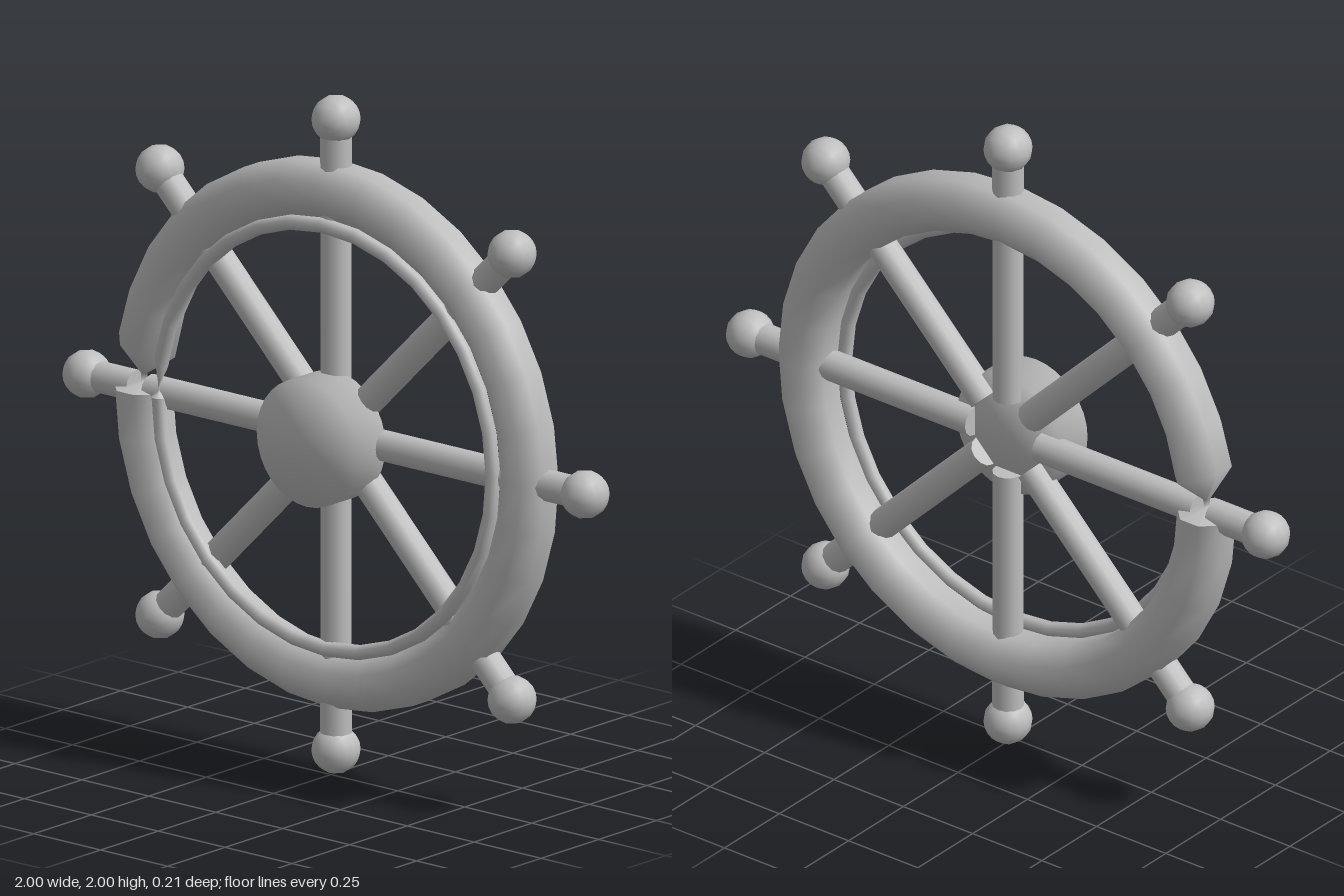
import * as THREE from 'three';
import { mergeVertices } from 'three/addons/utils/BufferGeometryUtils.js';

const CENTER_Y = 1;
const WHEEL_Z = -0.022;

// Drop hard seams so the normals flow round the whole part
function smooth(geometry) {
  geometry.deleteAttribute('normal');
  geometry.deleteAttribute('uv');
  const merged = mergeVertices(geometry, 1e-4);
  merged.computeVertexNormals();
  return merged;
}

// Ring tube running anticlockwise from the left-hand seam, pinched just before it closes
function pinchedRing(radius, tube, sides) {
  const stations = [];
  for (let i = 0; i <= 31; i++) stations.push([180 + (i * 350) / 31, 1]);
  stations.push([536.5, 0.12], [538.5, 0.1], [540, 1]);
  const positions = [], index = [];
  stations.forEach(([degrees, scale], i) => {
    const a = THREE.MathUtils.degToRad(degrees);
    for (let j = 0; j < sides; j++) {
      const b = ((j + 0.5) / sides) * Math.PI * 2;
      const r = radius + Math.cos(b) * tube * scale;
      // the open end is cut slightly askew
      const skew = i === 31 ? -Math.cos(b) * 0.025 : 0;
      positions.push(Math.cos(a + skew) * r, Math.sin(a + skew) * r, Math.sin(b) * tube * scale);
      if (i === stations.length - 1) continue;
      const k = (j + 1) % sides;
      const p = i * sides + j, q = i * sides + k;
      index.push(p, p + sides, q, q, p + sides, q + sides);
    }
  });
  const geometry = new THREE.BufferGeometry();
  geometry.setAttribute('position', new THREE.Float32BufferAttribute(positions, 3));
  geometry.setIndex(index);
  geometry.computeVertexNormals();
  return geometry;
}

export function createModel() {
  const model = new THREE.Group();
  model.name = 'shipWheel';
  const grey = new THREE.MeshStandardMaterial({ color: 0xbfbfbf, side: THREE.DoubleSide });
  grey.name = 'plain grey';

  function add(parent, name, geometry, x, y, z) {
    const mesh = new THREE.Mesh(geometry, grey);
    mesh.name = name;
    mesh.position.set(x, y, z);
    parent.add(mesh);
    return mesh;
  }

  // Rim and the thin bead inside it
  add(model, 'rim', pinchedRing(0.72, 0.0866, 8), 0, CENTER_Y, -0.025);
  add(model, 'innerBead', pinchedRing(0.624, 0.022, 8), 0, CENTER_Y, 0.022);

  // Hub drum, softly shaded, set forward of the spokes
  const drum = new THREE.CylinderGeometry(0.187, 0.187, 0.125, 32);
  drum.rotateX(Math.PI / 2);
  add(model, 'hub', smooth(drum), 0, CENTER_Y, 0.0425);

  // Eight spokes, each with a grip and a ball outside the rim
  const spoke = new THREE.CylinderGeometry(0.045, 0.045, 0.57, 12);
  const grip = new THREE.CylinderGeometry(0.046, 0.046, 0.15, 12);
  const ball = new THREE.SphereGeometry(0.07, 16, 8);
  ball.rotateX(Math.PI / 2);
  for (let i = 0; i < 8; i++) {
    const arm = new THREE.Group();
    arm.name = 'spokeArm' + (i + 1);
    arm.position.set(0, CENTER_Y, WHEEL_Z);
    arm.rotation.z = (i * Math.PI) / 4;
    add(arm, 'spoke', spoke, 0, 0.405, 0);
    add(arm, 'grip', grip, 0, 0.82, 0);
    add(arm, 'ball', ball, 0, 0.93, 0);
    model.add(arm);
  }
  return model;
}
